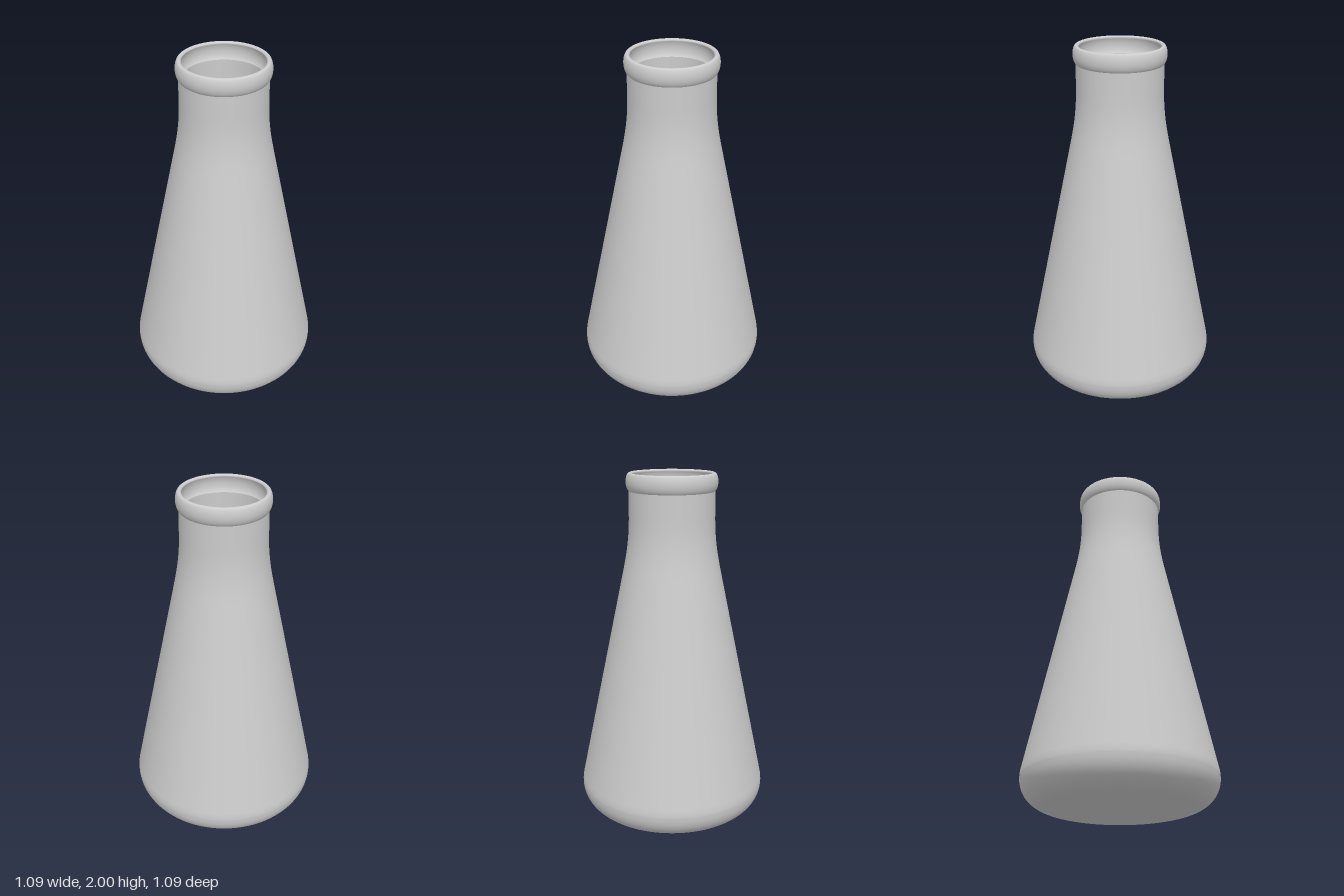
import * as THREE from 'three';

const SEGMENTS = 96;

export function createModel() {
  const model = new THREE.Group();
  model.name = 'conicalFlask';
  const material = new THREE.MeshStandardMaterial({ color: 0xcccccc, side: THREE.DoubleSide });

  // Revolve a profile path around the y axis
  const revolve = (name, path) => {
    const mesh = new THREE.Mesh(new THREE.LatheGeometry(path.getPoints(12), SEGMENTS), material);
    mesh.name = name;
    model.add(mesh);
  };

  // Outside: flat base, rounded heel, cone, shoulder easing into the neck
  const outer = new THREE.Path();
  outer.moveTo(0, 0);
  outer.lineTo(0.37, 0);
  outer.bezierCurveTo(0.47, 0, 0.545, 0.065, 0.545, 0.16);
  outer.quadraticCurveTo(0.545, 0.18, 0.54, 0.205);
  outer.lineTo(0.285, 1.42);
  outer.bezierCurveTo(0.255, 1.56, 0.242, 1.64, 0.242, 1.78);
  outer.lineTo(0.241, 1.9);
  revolve('outerBody', outer);

  // Rolled rim: bulging outside, rounded lip, hollow inside
  const rim = new THREE.Path();
  rim.moveTo(0.241, 1.9);
  rim.bezierCurveTo(0.26, 1.92, 0.261, 1.965, 0.249, 1.99);
  rim.bezierCurveTo(0.243, 2.003, 0.228, 2.003, 0.222, 1.99);
  rim.bezierCurveTo(0.236, 1.965, 0.236, 1.92, 0.218, 1.9);
  revolve('rim', rim);

  // Inside wall, running down from the neck to the inner floor
  const inner = new THREE.Path();
  inner.moveTo(0.218, 1.9);
  inner.lineTo(0.219, 1.78);
  inner.bezierCurveTo(0.219, 1.64, 0.232, 1.56, 0.262, 1.42);
  inner.lineTo(0.517, 0.2);
  inner.quadraticCurveTo(0.522, 0.18, 0.522, 0.16);
  inner.bezierCurveTo(0.522, 0.08, 0.46, 0.023, 0.37, 0.023);
  inner.lineTo(0, 0.023);
  revolve('innerWall', inner);

  return model;
}
